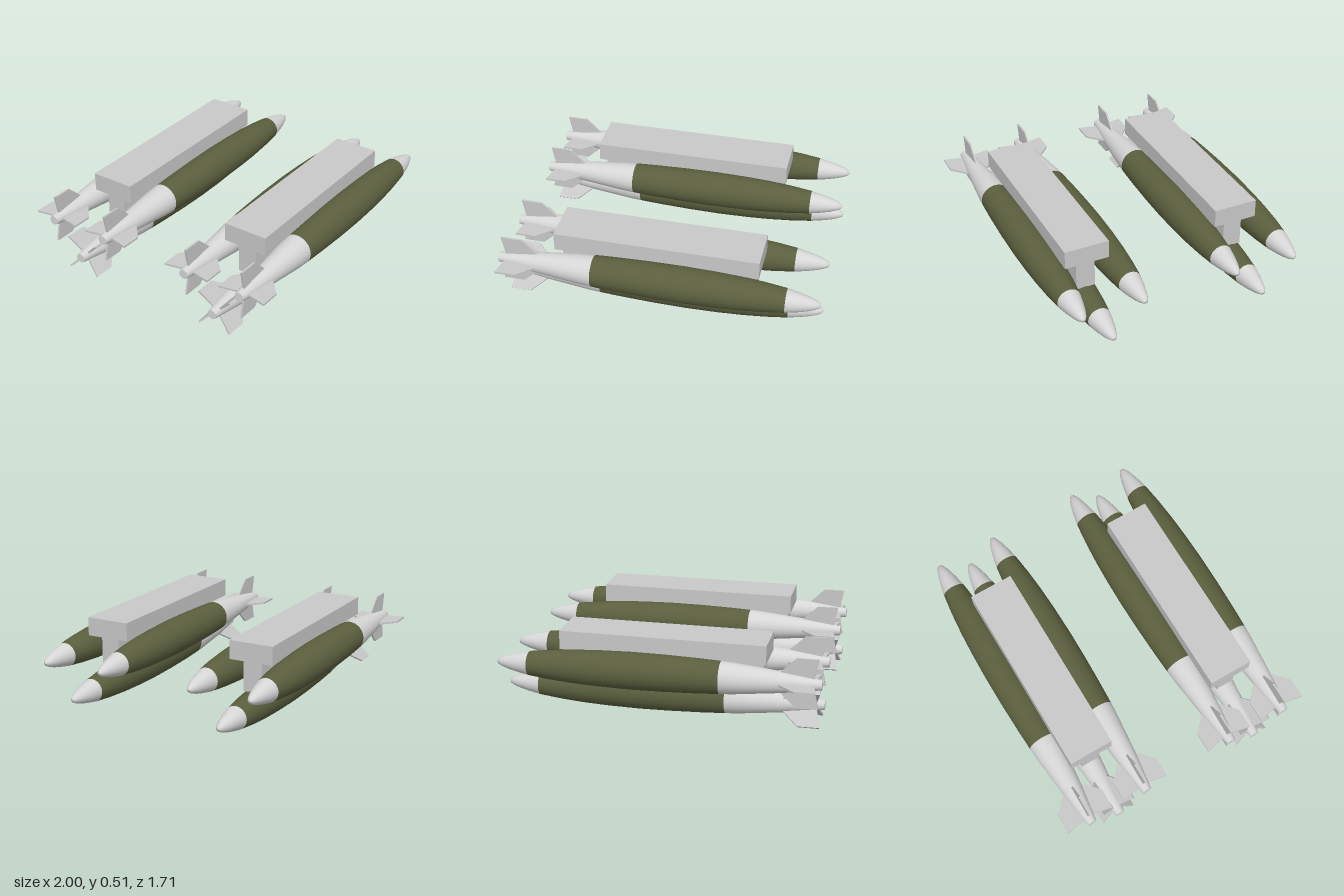
import * as THREE from 'three';

const olive = new THREE.MeshStandardMaterial({ name: 'olive', color: 0x5b5f3e });
const paleGrey = new THREE.MeshStandardMaterial({ name: 'pale grey', color: 0xd6d6d6 });
const rackGrey = new THREE.MeshStandardMaterial({ name: 'rack grey', color: 0xc8c8c8 });

// Profiles as [position along x, radius]
const TAIL = [[-1, 0.03], [-0.76, 0.064], [-0.48, 0.093], [-0.4, 0.098]];
const BODY = [[-0.4, 0.098], [-0.25, 0.105], [-0.05, 0.111], [0.15, 0.113], [0.35, 0.109],
  [0.5, 0.102], [0.65, 0.09], [0.785, 0.074]];
const NOSE = [[0.785, 0.074], [0.86, 0.059], [0.92, 0.044], [0.96, 0.03], [0.985, 0.017], [0.995, 0]];

function add(parent, name, geometry, material) {
  const mesh = new THREE.Mesh(geometry, material);
  mesh.name = name;
  parent.add(mesh);
  return mesh;
}

function turned(profile) {
  const points = profile.map(([x, r]) => new THREE.Vector2(r, x));
  return new THREE.LatheGeometry(points, 32).rotateZ(-Math.PI / 2);
}

// Swept tail fin standing up from the axis
function finGeometry() {
  const shape = new THREE.Shape([
    [-0.95, 0.02], [-0.75, 0.04], [-0.75, 0.06], [-0.85, 0.155], [-0.98, 0.155], [-0.955, 0.035],
  ].map(([x, y]) => new THREE.Vector2(x, y)));
  return new THREE.ExtrudeGeometry(shape, { depth: 0.012, bevelEnabled: false }).translate(0, 0, -0.006);
}

const geo = {
  tail: turned(TAIL),
  body: turned(BODY),
  nose: turned(NOSE),
  cap: new THREE.CircleGeometry(0.03, 32).rotateY(-Math.PI / 2).translate(-1, 0, 0),
  fin: finGeometry(),
};

function createStore(name, finTurn) {
  const store = new THREE.Group();
  store.name = name;
  add(store, 'tailCone', geo.tail, paleGrey);
  add(store, 'tailCap', geo.cap, paleGrey);
  add(store, 'body', geo.body, olive);
  add(store, 'noseCone', geo.nose, paleGrey);
  for (let i = 0; i < 4; i++) {
    add(store, 'tailFin', geo.fin, rackGrey).rotation.x = finTurn + i * Math.PI / 2;
  }
  store.rotation.z = -0.006; // slight nose-down set
  return store;
}

// Rack with two shoulder stores and one underneath
function createCluster(name) {
  const cluster = new THREE.Group();
  cluster.name = name;
  add(cluster, 'rackBeam', new THREE.BoxGeometry(1.268, 0.117, 0.285), rackGrey)
    .position.set(-0.026, 0.4575, 0);
  add(cluster, 'rackStem', new THREE.BoxGeometry(1.215, 0.2, 0.122), rackGrey)
    .position.set(-0.0275, 0.303, 0);
  for (const side of [-1, 1]) {
    const shoulder = createStore('shoulderStore', 0);
    shoulder.position.set(0, 0.318, side * 0.196);
    cluster.add(shoulder);
  }
  const lower = createStore('lowerStore', Math.PI / 4);
  lower.position.set(0, 0.115, 0.005);
  cluster.add(lower);
  return cluster;
}

export function createModel() {
  const model = new THREE.Group();
  model.name = 'storeRacks';
  for (const [name, z] of [['frontCluster', 0.503], ['rearCluster', -0.503]]) {
    const cluster = createCluster(name);
    cluster.position.z = z;
    model.add(cluster);
  }
  return model;
}
